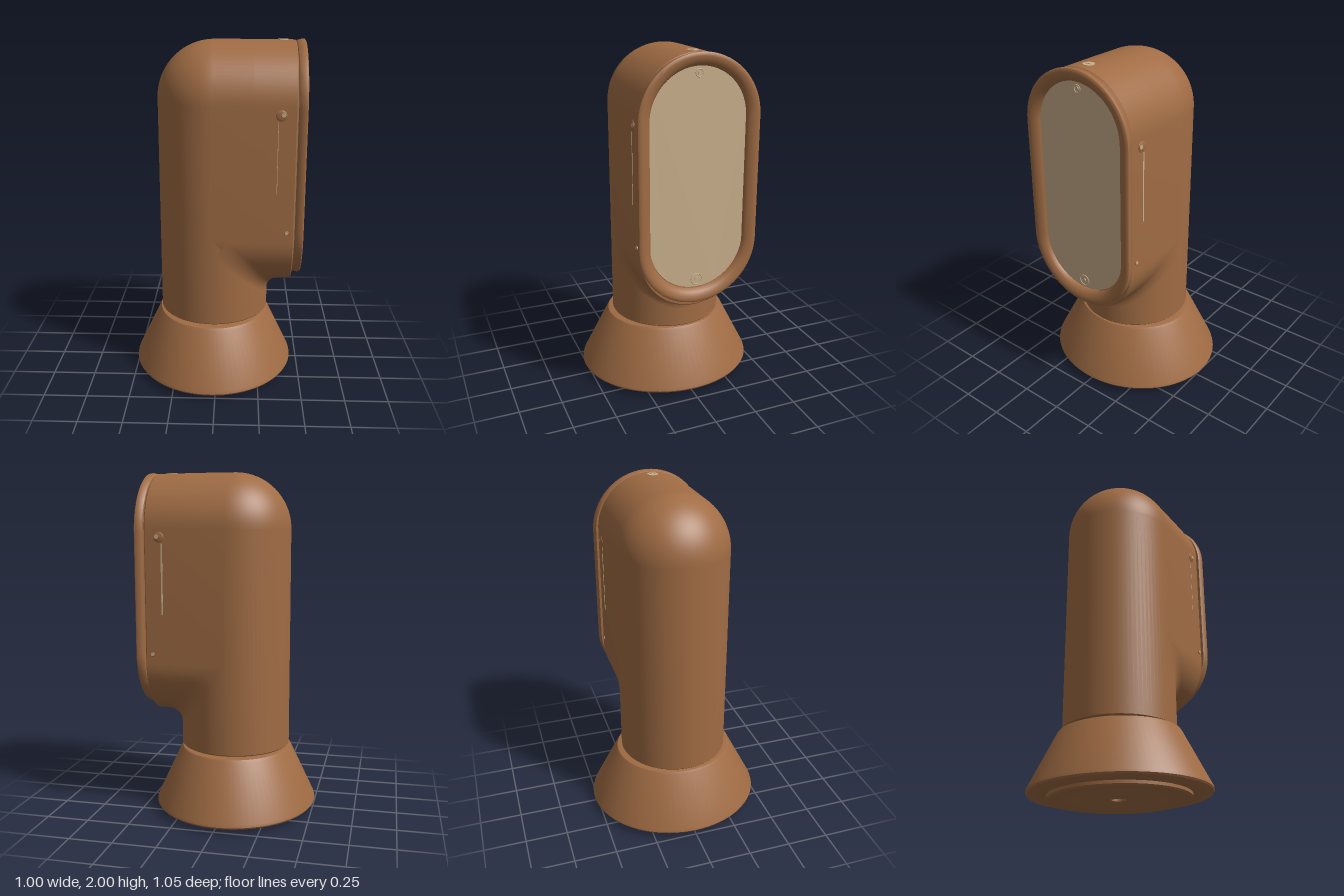
import * as THREE from 'three';
import { toCreasedNormals } from 'three/addons/utils/BufferGeometryUtils.js';

const CX = -0.02;    // axis of the column
const R = 0.325;     // radius of column and hood
const TOP = 1.67, LOW = 0.905; // centres of the hood's round ends

// Surface through rows of points; faces look along (column x row)
function grid(rows, closed) {
  const n = rows[0].length, index = [];
  for (let s = 0; s < rows.length - 1; s++) {
    for (let j = 0; j < (closed ? n : n - 1); j++) {
      const k = (j + 1) % n;
      const a = s * n + j, b = s * n + k, c = b + n, d = a + n;
      index.push(a, b, c, a, c, d);
    }
  }
  const g = new THREE.BufferGeometry();
  g.setAttribute('position', new THREE.Float32BufferAttribute(rows.flat(2), 3));
  g.setIndex(index);
  g.computeVertexNormals();
  return g;
}

// Upright stadium loop at a given x, counter-clockwise seen from +x
function stadium(x, r, top, low) {
  const loop = [], n = 40;
  for (let i = 0; i <= 2 * n + 1; i++) {
    const upper = i <= n;
    const a = ((upper ? i : i - 1) / n) * Math.PI;
    loop.push([x, (upper ? top : low) + r * Math.sin(a), -r * Math.cos(a)]);
  }
  return loop;
}

function lathe(points) {
  const g = new THREE.LatheGeometry(points.map(([x, y]) => new THREE.Vector2(x, y)), 80);
  return toCreasedNormals(g, 0.5);
}

export function createModel() {
  const model = new THREE.Group();
  const brown = new THREE.MeshStandardMaterial({ color: 0xa06c44, side: THREE.DoubleSide });
  brown.name = 'brown';
  const sand = new THREE.MeshStandardMaterial({ color: 0xcab08d, side: THREE.DoubleSide });
  sand.name = 'sand';
  const add = (name, geometry, material, x = 0, y = 0, z = 0) => {
    const mesh = new THREE.Mesh(geometry, material);
    mesh.name = name;
    mesh.position.set(x, y, z);
    model.add(mesh);
    return mesh;
  };

  // Flared base with a foot and a small socket beneath, slightly oval
  const base = add('base', lathe([
    [0, 0.03], [0.04, 0.03], [0.04, 0.005], [0.05, 0], [0.365, 0], [0.375, 0.008], [0.375, 0.025],
    [0.46, 0.025], [0.476, 0.03], [0.482, 0.04], [0.478, 0.055],
    [0.334, 0.362], [0.326, 0.374], [0.315, 0.377], [0, 0.377],
  ]), brown, CX - 0.005);
  base.scale.z = 1.09;
  add('neck', new THREE.CylinderGeometry(0.305, 0.305, 0.03, 64), brown, CX, 0.38, 0);

  // Round column with a domed top
  const column = [[0, 0.385], [R - 0.004, 0.385], [R, 0.39]];
  for (let i = 0; i <= 20; i++) {
    const a = (i / 20) * Math.PI / 2;
    column.push([R * Math.cos(a), TOP + R * Math.sin(a)]);
  }
  add('column', lathe(column), brown, CX);

  // Forward hood with a stadium section, closed just behind the rim
  const hood = [[CX, R], [0.2, R], [0.432, R - 0.002], [0.438, R - 0.008], [0.44, 0.27]];
  add('hood', toCreasedNormals(grid(hood.map(([x, r]) => stadium(x, r, TOP, LOW)), true), 0.6), brown);

  // Concave blend where the hood meets the column below
  const blend = [], F = 0.08;
  for (let i = 0; i <= 40; i++) {
    const t = (i / 40 - 0.5) * 2 * 1.5, c = R * Math.cos(t), row = [];
    for (let j = 0; j <= 10; j++) {
      const a = (j / 10) * Math.PI / 2;
      row.push([CX + c + F * (1 - Math.cos(a)), LOW - c - F * (1 - Math.sin(a)), R * Math.sin(t)]);
    }
    blend.push(row);
  }
  add('hoodBlend', grid(blend, false), brown);

  // Rim around the opening
  const rim = [
    [0.442, 0.31], [0.442, 0.334], [0.446, 0.338], [0.475, 0.345], [0.485, 0.344], [0.49, 0.337],
    [0.491, 0.325], [0.488, 0.308], [0.478, 0.288], [0.466, 0.276], [0.45, 0.271],
  ];
  const rimTop = 1.653, rimLow = 0.967;
  add('rim', toCreasedNormals(grid(rim.map(([x, r]) => stadium(x, r, rimTop, rimLow)), true), 0.6), brown);

  // Flat pane set into the rim
  const outline = stadium(0, 0.275, rimTop, rimLow + 0.012).map(([, y, z]) => new THREE.Vector2(-z, y));
  const pane = add('pane', new THREE.ShapeGeometry(new THREE.Shape(outline)), sand, 0.457);
  pane.rotation.y = Math.PI / 2;

  // Small fastener marks on the pane
  for (const [y, r] of [[1.89, 0.02], [0.75, 0.032]]) {
    const ring = add('paneFastener', new THREE.TorusGeometry(r, 0.003, 6, 24), sand, 0.458, y, 0);
    ring.rotation.y = Math.PI / 2;
    const stud = add('paneStud', new THREE.CylinderGeometry(0.01, 0.01, 0.006, 16), sand, 0.459, y, 0);
    stud.rotation.z = Math.PI / 2;
  }

  // Plug on top with a driver slot, and a drain plug below
  add('topPlug', new THREE.CylinderGeometry(0.031, 0.031, 0.004, 32), sand, 0.365, TOP + R - 0.001, 0);
  add('plugSlot', new THREE.BoxGeometry(0.004, 0.002, 0.035), brown, 0.368, TOP + R + 0.001, 0);
  add('drainPlug', new THREE.SphereGeometry(0.02, 20, 12), brown, 0.405, LOW - R + 0.012, 0);

  // Side screws and thin slots
  for (const side of [1, -1]) {
    const z = side * R;
    const boss = add('sideBoss', new THREE.SphereGeometry(0.03, 24, 16), brown, 0.35, 1.625, z);
    boss.scale.z = 0.2;
    for (const [x, y, r] of [[0.362, 1.628, 0.012], [0.395, 0.962, 0.01]]) {
      const collar = add('screwCollar', new THREE.TorusGeometry(r, 0.004, 8, 20), brown, x, y, z + side * 0.004);
      const screw = add('sideScrew', new THREE.CylinderGeometry(r, r, 0.008, 16), sand, x, y, z + side * 0.003);
      collar.scale.z = 0.8;
      screw.rotation.x = Math.PI / 2;
    }
    add('sideSlot', new THREE.BoxGeometry(side > 0 ? 0.003 : 0.009, 0.4, 0.002), sand, 0.335, 1.39, z);
  }
  return model;
}
